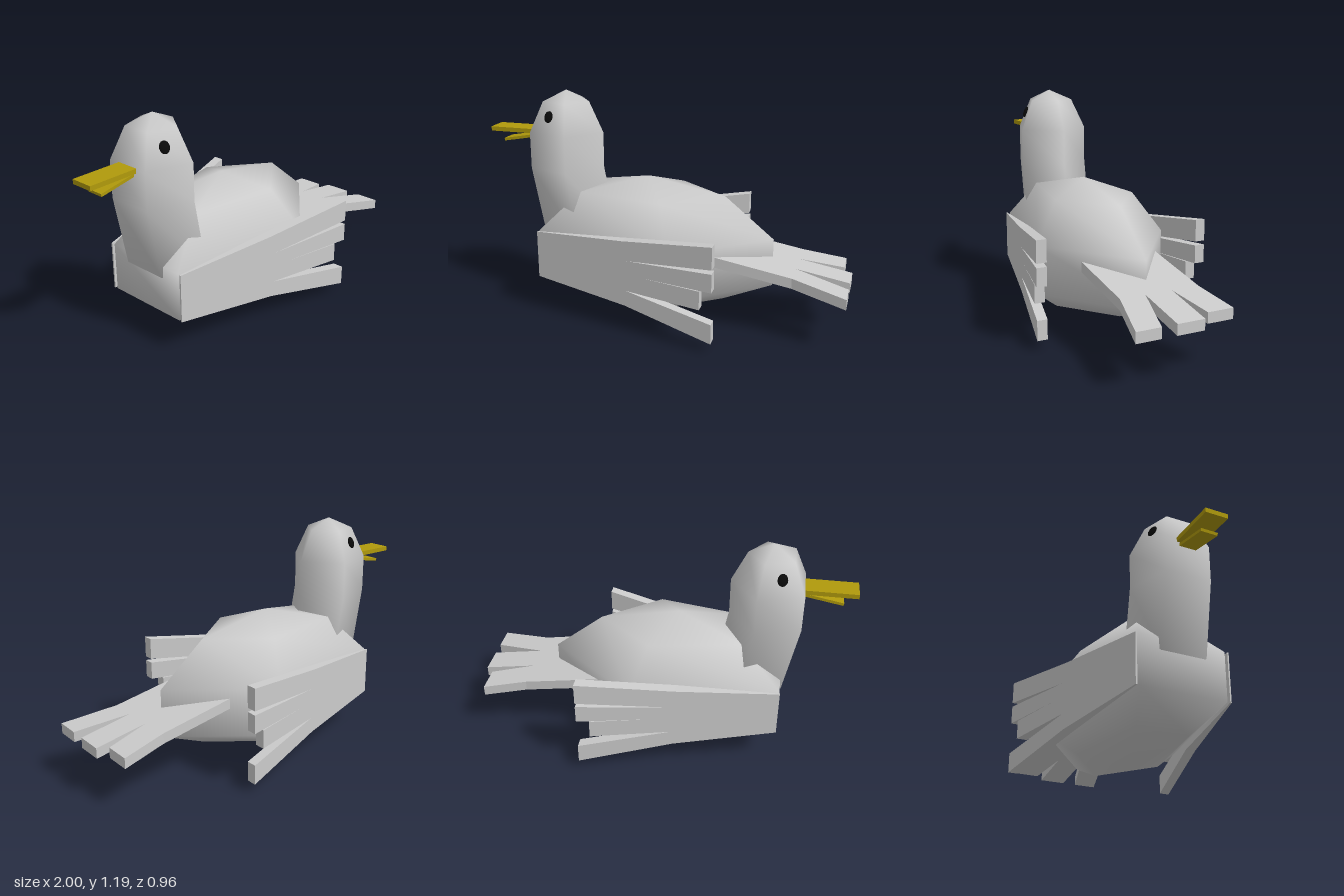
import * as THREE from 'three';
import { mergeVertices } from 'three/addons/utils/BufferGeometryUtils.js';

const material = (color) => new THREE.MeshStandardMaterial({ color });
const grey = material(0xcccccc);
const yellow = material(0xb09a0c);
const black = material(0x0a0a0a);

const points = (list) => list.map(([x, y]) => new THREE.Vector2(x, y));

function addPart(group, name, geometry, mat) {
  const mesh = new THREE.Mesh(geometry, mat);
  mesh.name = name;
  group.add(mesh);
  return mesh;
}

// Move every vertex by a rule, then rebuild the normals
function reshape(geometry, rule) {
  const pos = geometry.attributes.position;
  const v = new THREE.Vector3();
  for (let i = 0; i < pos.count; i++) {
    v.fromBufferAttribute(pos, i);
    rule(v);
    pos.setXYZ(i, v.x, v.y, v.z);
  }
  geometry.computeVertexNormals();
  return geometry;
}

// Smooth five-sided solid of revolution with one corner pointing to +x
function fiveSided(profile, rule) {
  const lathe = new THREE.LatheGeometry(points(profile), 5, Math.PI / 2);
  lathe.deleteAttribute('normal');
  lathe.deleteAttribute('uv');
  return reshape(mergeVertices(lathe, 1e-4), rule);
}

const slab = (outline) =>
  new THREE.ExtrudeGeometry(new THREE.Shape(points(outline)), { depth: 1, bevelEnabled: false });

// Wing outline seen from the side, with four feather tips
const wingOutline = [
  [-0.66, 0.2], [-0.12, 0.15], [0.37, 0.055], [0.37, 0.16], [-0.11, 0.235],
  [0.305, 0.225], [0.305, 0.325], [-0.02, 0.327], [0.37, 0.33], [0.37, 0.428],
  [-0.1, 0.402], [0.37, 0.45], [0.37, 0.567], [-0.13, 0.505], [-0.66, 0.46],
];

// The wing flares outwards to the rear and thins to an edge at the front
function wing(side) {
  return reshape(slab(wingOutline), (v) => {
    const outer = 0.25 + (v.x + 0.66) * 0.225;
    const thickness = 0.008 + 0.047 * Math.min(1, (v.x + 0.66) / 0.53);
    const inward = side > 0 ? 1 - v.z : v.z;
    v.z = side * (outer - inward * thickness);
  });
}

// Tail outline seen from above, with three feather tips
const tailOutline = [
  [0.15, -0.215], [0.72, -0.215], [1, -0.29], [1, -0.16], [0.72, -0.08], [1, -0.08],
  [1, 0.065], [0.72, 0.065], [0.955, 0.11], [0.955, 0.25], [0.72, 0.215], [0.15, 0.215],
];

export function createModel() {
  const model = new THREE.Group();
  model.name = 'duck';

  // Body
  const body = fiveSided(
    [[0, 0.005], [0.425, 0.088], [0.688, 0.2], [0.688, 0.46], [0.425, 0.673], [0, 0.755]],
    (v) => { v.x -= 0.1; v.z *= 0.567; });
  addPart(model, 'body', body, grey);

  // Head and neck, the neck leaning back towards the body
  const head = fiveSided(
    [[0, 0.32], [0.208, 0.4], [0.208, 0.78], [0.208, 0.975], [0.13, 1.14], [0, 1.197]],
    (v) => { v.x += -0.567 + Math.max(0, 0.78 - v.y) * 0.19; });
  addPart(model, 'headAndNeck', head, grey);

  // Beak
  const upper = addPart(model, 'upperBeak', new THREE.BoxGeometry(0.32, 0.024, 0.12), yellow);
  upper.position.set(-0.84, 0.968, 0);
  const lower = addPart(model, 'lowerBeak', new THREE.BoxGeometry(0.26, 0.015, 0.09), yellow);
  lower.position.set(-0.803, 0.931, 0);
  lower.rotation.z = 0.18;

  // Wings and eyes, one pair each
  for (const side of [1, -1]) {
    const name = side > 0 ? 'left' : 'right';
    addPart(model, name + 'Wing', wing(side), grey);

    const eye = addPart(model, name + 'Eye', new THREE.SphereGeometry(1, 12, 8), black);
    eye.scale.set(0.027, 0.032, 0.012);
    eye.position.set(-0.618, 1.068, side * 0.129);
    const outward = new THREE.Vector3(-0.29, 0.36, side * 0.88).normalize();
    eye.quaternion.setFromUnitVectors(new THREE.Vector3(0, 0, side), outward);
  }

  // Tail, sloping down to the rear
  const tail = slab(tailOutline).rotateX(-Math.PI / 2);
  reshape(tail, (v) => { v.y = 0.295 + (1 - v.x) * 0.167 - (1 - v.y) * 0.055; });
  addPart(model, 'tail', tail, grey);

  return model;
}
